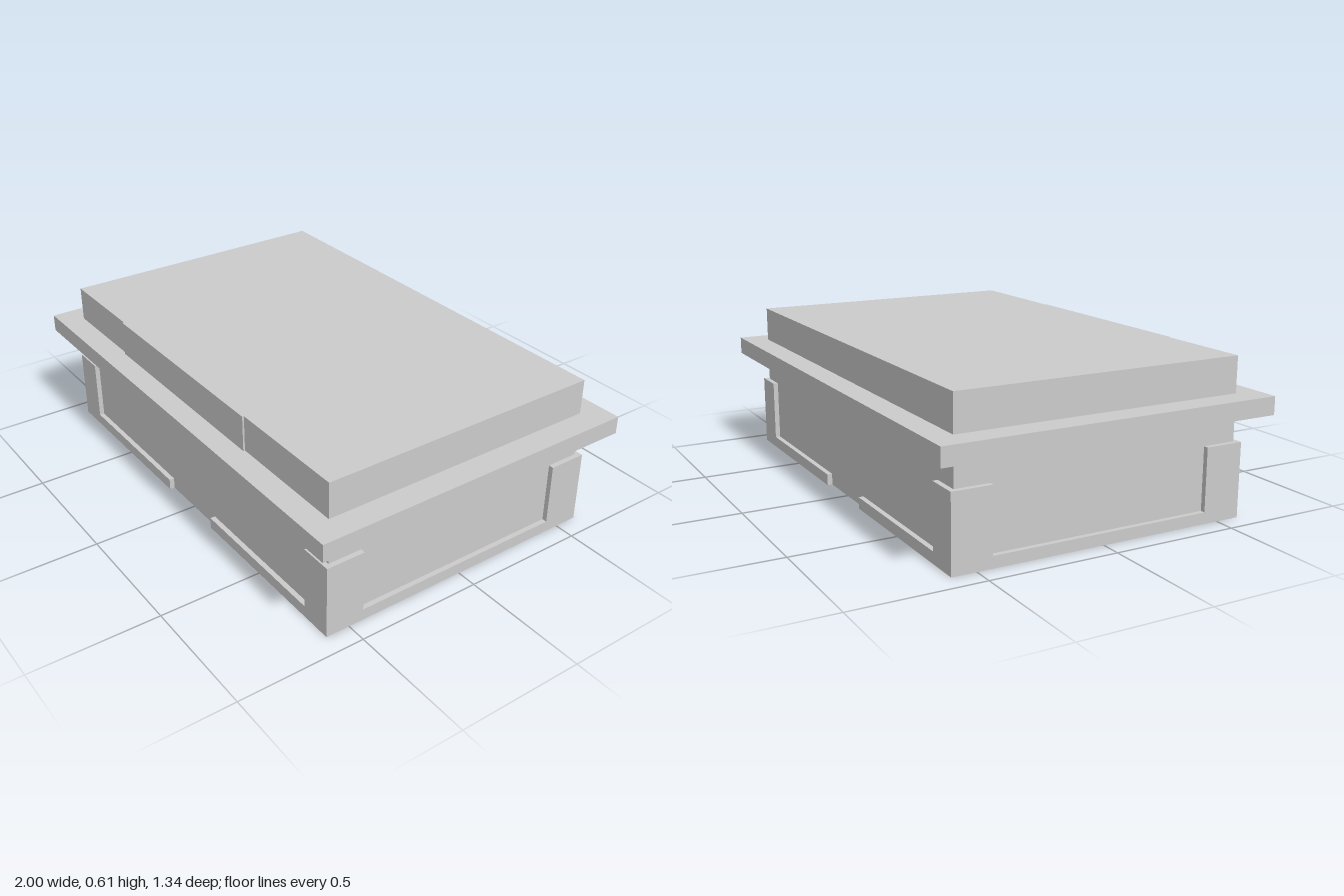
import * as THREE from 'three';

const material = new THREE.MeshStandardMaterial({ color: 0xcccccc, flatShading: true });
const T = 0.02; // sheet thickness

function add(parent, name, geometry) {
  const mesh = new THREE.Mesh(geometry, material);
  mesh.name = name;
  parent.add(mesh);
  return mesh;
}

function box(parent, name, w, h, d, x, y, z) {
  add(parent, name, new THREE.BoxGeometry(w, h, d)).position.set(x, y, z);
}

const toShape = (pts) => new THREE.Shape(pts.map(([x, y]) => new THREE.Vector2(x, y)));
const rect = (x, z) => [[-x, -z], [x, -z], [x, z], [-x, z]];

// Right half of an outline, bottom to top, mirrored to a full shape
const mirrored = (half) => toShape([...half, ...half.map(([x, y]) => [-x, y]).reverse()]);

// Horizontal rectangular ring between two heights
function ring(parent, name, x, z, innerX, innerZ, y0, y1) {
  const shape = toShape(rect(x, z));
  shape.holes.push(toShape(rect(innerX, innerZ)));
  const g = new THREE.ExtrudeGeometry(shape, { depth: y1 - y0, bevelEnabled: false });
  g.rotateX(-Math.PI / 2).translate(0, y0, 0);
  add(parent, name, g);
}

// Upright sheet whose outer face lies at a distance from the centre
function sheet(parent, name, shape, outer, angle) {
  const g = new THREE.ExtrudeGeometry(shape, { depth: T, bevelEnabled: false });
  g.translate(0, 0, outer - T).rotateY(angle);
  add(parent, name, g);
}

export function createModel() {
  const model = new THREE.Group();
  model.name = 'tray';

  // Hollow lid, open below
  const lid = new THREE.Group();
  lid.name = 'lid';
  model.add(lid);
  ring(lid, 'lidWalls', 0.9, 0.575, 0.9 - T, 0.575 - T, 0.46, 0.6);
  box(lid, 'lidTop', 1.8, 0.012, 1.15, 0, 0.604, 0);
  box(lid, 'frontPlate', 0.9, 0.14, 0.012, -0.05, 0.54, 0.576);

  // Hollow projecting rim
  const rim = new THREE.Group();
  rim.name = 'rim';
  model.add(rim);
  ring(rim, 'rimTop', 1, 0.67, 0.9 - T, 0.575 - T, 0.462, 0.47);
  ring(rim, 'rimBottom', 1, 0.67, 0.9 - T, 0.575 - T, 0.4, 0.408);
  ring(rim, 'rimEdge', 1, 0.67, 0.992, 0.662, 0.4, 0.47);

  // Lower walls, cut away where the raised trim replaces them
  const longWall = mirrored([[0.16, 0], [0.16, 0.045], [0.79, 0.045], [0.79, 0.29], [0.9, 0.29], [0.9, 0.4]]);
  const shortWall = mirrored([[0.44, 0.045], [0.44, 0.29], [0.575, 0.29], [0.575, 0.4]]);

  // Raised corner posts with bottom strips
  const longTrim = [[0.16, 0], [0.92, 0], [0.92, 0.29], [0.79, 0.29], [0.79, 0.045], [0.16, 0.045]];
  const shortTrim = mirrored([[0.595, 0], [0.595, 0.29], [0.44, 0.29], [0.44, 0.045]]);

  for (const turn of [0, Math.PI]) {
    sheet(model, 'longWall', longWall, 0.575, turn);
    sheet(model, 'shortWall', shortWall, 0.9, turn + Math.PI / 2);
    for (const s of [1, -1]) {
      sheet(model, 'longTrim', toShape(longTrim.map(([x, y]) => [s * x, y])), 0.595, turn);
    }
    sheet(model, 'shortTrim', shortTrim, 0.92, turn + Math.PI / 2);
  }
  return model;
}
